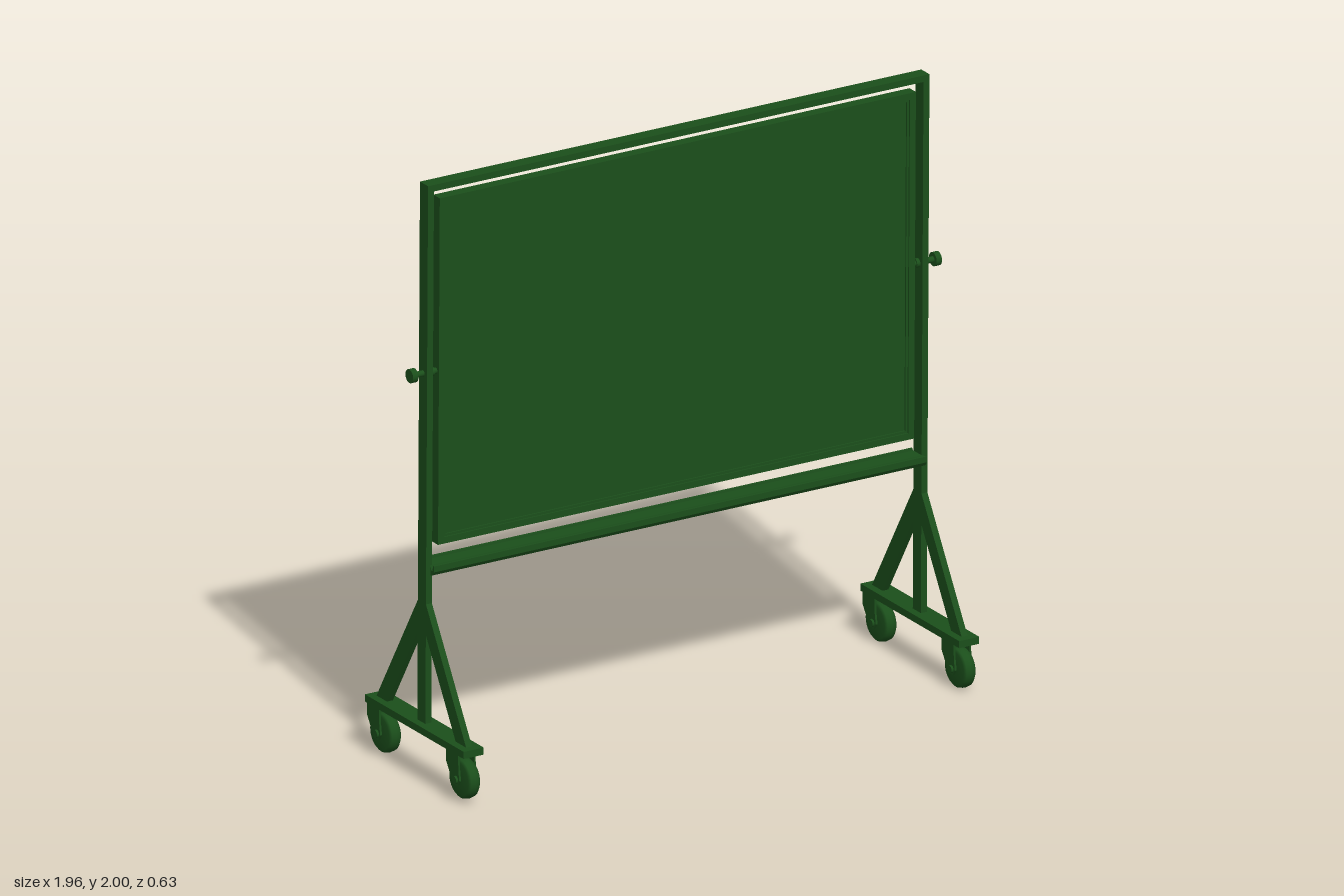
import * as THREE from 'three';

const green = new THREE.MeshStandardMaterial({ color: 0x1b4f1b });

function add(parent, name, geometry, x = 0, y = 0, z = 0) {
  const mesh = new THREE.Mesh(geometry, green);
  mesh.name = name;
  mesh.position.set(x, y, z);
  parent.add(mesh);
  return mesh;
}

const box = (w, h, d) => new THREE.BoxGeometry(w, h, d);
const rod = (r, length) => new THREE.CylinderGeometry(r, r, length, 20).rotateZ(Math.PI / 2);

// Extrudes a (z, y) outline along x, centred on x = 0
function profile(points, width) {
  const shape = new THREE.Shape(points.map(([z, y]) => new THREE.Vector2(-z, y)));
  return new THREE.ExtrudeGeometry(shape, { depth: width, bevelEnabled: false })
    .translate(0, 0, -width / 2).rotateY(Math.PI / 2);
}

// Trailing caster: wheel ahead of its swivel, held by two fork plates
function makeCaster(x, z) {
  const caster = new THREE.Group();
  caster.name = 'caster';
  caster.position.set(x, 0.068, z);
  const tread = [[0.012, -0.022], [0.056, -0.022], [0.064, -0.015], [0.067, 0],
    [0.064, 0.015], [0.056, 0.022], [0.012, 0.022]].map(([r, h]) => new THREE.Vector2(r, h));
  add(caster, 'wheel', new THREE.LatheGeometry(tread, 28).rotateZ(Math.PI / 2));
  add(caster, 'axle', rod(0.013, 0.08));
  const plate = [[-0.06, 0.087], [-0.058, 0.045], [-0.018, -0.016], [0.008, -0.018],
    [0.02, 0], [0.014, 0.035], [0.012, 0.087]];
  for (const s of [-1, 1]) add(caster, 'forkPlate', profile(plate, 0.007), s * 0.029);
  add(caster, 'forkBridge', box(0.064, 0.012, 0.072), 0, 0.081, -0.024);
  return caster;
}

// One end: post, triangular braces, foot bar and two casters
function makeStand(side) {
  const stand = new THREE.Group();
  stand.name = side > 0 ? 'leftStand' : 'rightStand';
  const x = side * 0.92;
  add(stand, 'post', box(0.022, 1.815, 0.048), x, 1.0875);
  add(stand, 'footBar', box(0.074, 0.024, 0.585), x, 0.168);
  for (const s of [-1, 1]) {
    const outline = [[0.02, 0.59], [0.265, 0.18], [0.203, 0.18], [0.02, 0.487]];
    add(stand, 'brace', profile(outline.map(([z, y]) => [s * z, y]), 0.022), x);
    stand.add(makeCaster(x, s * 0.234 + 0.006));
  }
  // Pivot pin and tightening knob
  add(stand, 'pivotPin', rod(0.01, 0.1), side * 0.925, 1.356);
  add(stand, 'pivotKnob', rod(0.023, 0.02), side * 0.972, 1.356);
  add(stand, 'pivotCollar', rod(0.015, 0.012), side * 0.901, 1.356);
  return stand;
}

// Panel framed by four stepped rails
function makeBoard() {
  const board = new THREE.Group();
  board.name = 'board';
  board.position.y = 1.358;
  const w = 1.768, h = 1.17, rail = 0.022, depth = 0.038;
  add(board, 'panel', box(w - rail, h - rail, 0.018));
  for (const s of [-1, 1]) {
    add(board, 'horizontalRail', box(w, rail, depth), 0, s * (h - rail) / 2);
    add(board, 'sideRail', box(rail, h - 2 * rail, depth), s * (w - rail) / 2);
    add(board, 'horizontalBead', box(w - 2 * rail, 0.008, 0.028), 0, s * (h / 2 - rail - 0.004));
    add(board, 'sideBead', box(0.008, h - 2 * rail, 0.028), s * (w / 2 - rail - 0.004));
  }
  return board;
}

export function createModel() {
  const model = new THREE.Group();
  model.name = 'mobileBoard';
  // The whole stand sits very slightly turned and leaning
  const body = new THREE.Group();
  body.name = 'body';
  body.rotation.set(0, -0.015, -0.0055);
  body.position.set(-0.007, 0.004, -0.004);
  model.add(body);

  body.add(makeStand(1), makeStand(-1), makeBoard());
  add(body, 'topBar', box(1.862, 0.022, 0.048), 0, 1.984);

  // Tray with a gutter and raised lip on each face
  const half = [[0.024, 0.71], [0.028, 0.694], [0.036, 0.694], [0.039, 0.712],
    [0.045, 0.712], [0.045, 0.692], [0.036, 0.679], [0.022, 0.675]];
  const outline = [...half, ...half.map(([z, y]) => [-z, y]).reverse()];
  add(body, 'tray', profile(outline, 1.83), 0, 0.003);
  return model;
}
